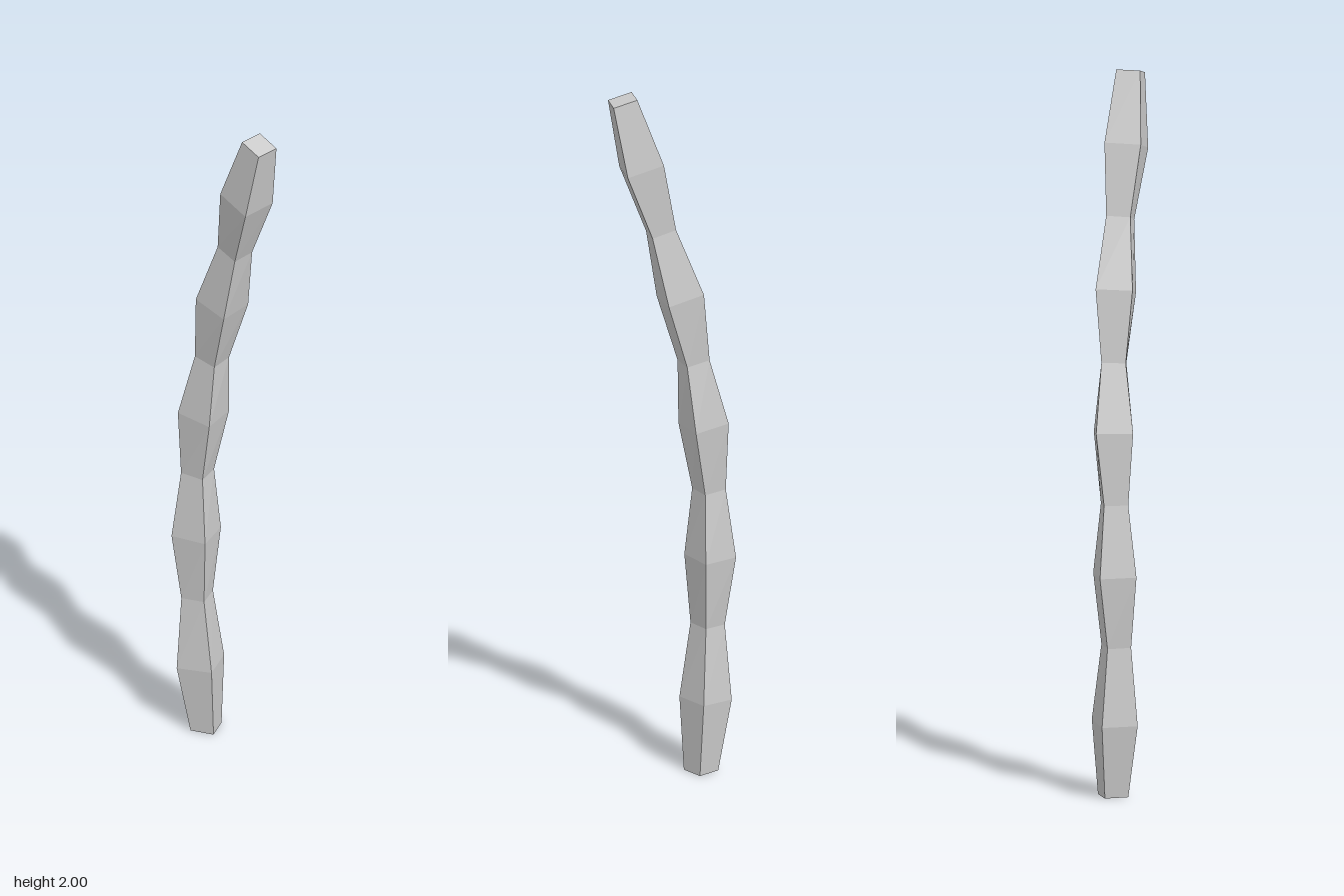
import * as THREE from 'three';

// Rings along the stalk: centre x, y, z and twist in degrees
const RINGS = [
  [-0.076, 0, -0.046, 1],
  [-0.0925, 0.208, -0.0465, 1.5],
  [-0.1015, 0.425, -0.045, 3],
  [-0.106, 0.625, -0.0505, 7],
  [-0.102, 0.823, -0.05, 10],
  [-0.084, 1.02, -0.0475, 14],
  [-0.056, 1.21, -0.0375, 19],
  [-0.0215, 1.405, -0.021, 23],
  [0.025, 1.6, 0.0065, 27],
  [0.069, 1.793, 0.038, 29],
  [0.115, 1.991, 0.065, 29],
];

// Four corners of one ring, tilted to stay square to the path
function ringCorners(i) {
  const [x, y, z, twist] = RINGS[i];
  const a = RINGS[Math.max(i - 1, 0)];
  const b = RINGS[Math.min(i + 1, RINGS.length - 1)];
  const slopeX = i ? (b[0] - a[0]) / (b[1] - a[1]) : 0;
  const slopeZ = i ? (b[2] - a[2]) / (b[1] - a[1]) : 0;
  const half = i % 2 ? 0.051 : 0.0335; // alternate swollen and narrow joints
  const t = THREE.MathUtils.degToRad(twist);
  return [[1, 1], [1, -1], [-1, -1], [-1, 1]].map(([u, v]) => {
    const dx = half * (u * Math.cos(t) - v * Math.sin(t));
    const dz = half * (u * Math.sin(t) + v * Math.cos(t));
    return [x + dx, y - slopeX * dx - slopeZ * dz, z + dz];
  });
}

export function createModel() {
  const positions = RINGS.flatMap((_, i) => ringCorners(i).flat());
  const index = [];
  const quad = (a, b, c, d) => index.push(a, b, c, a, c, d);

  // Side walls between neighbouring rings
  for (let i = 0; i < RINGS.length - 1; i++) {
    for (let k = 0; k < 4; k++) {
      const n = (k + 1) % 4;
      quad(i * 4 + k, i * 4 + n, i * 4 + 4 + n, i * 4 + 4 + k);
    }
  }
  // End caps
  const top = (RINGS.length - 1) * 4;
  quad(3, 2, 1, 0);
  quad(top, top + 1, top + 2, top + 3);

  const indexed = new THREE.BufferGeometry();
  indexed.setAttribute('position', new THREE.Float32BufferAttribute(positions, 3));
  indexed.setIndex(index);
  const geometry = indexed.toNonIndexed();
  geometry.computeVertexNormals();

  const stalk = new THREE.Mesh(
    geometry,
    new THREE.MeshStandardMaterial({ color: 0xcccccc, flatShading: true })
  );
  stalk.name = 'stalk';

  const group = new THREE.Group();
  group.name = 'jointedStalk';
  group.add(stalk);
  return group;
}
